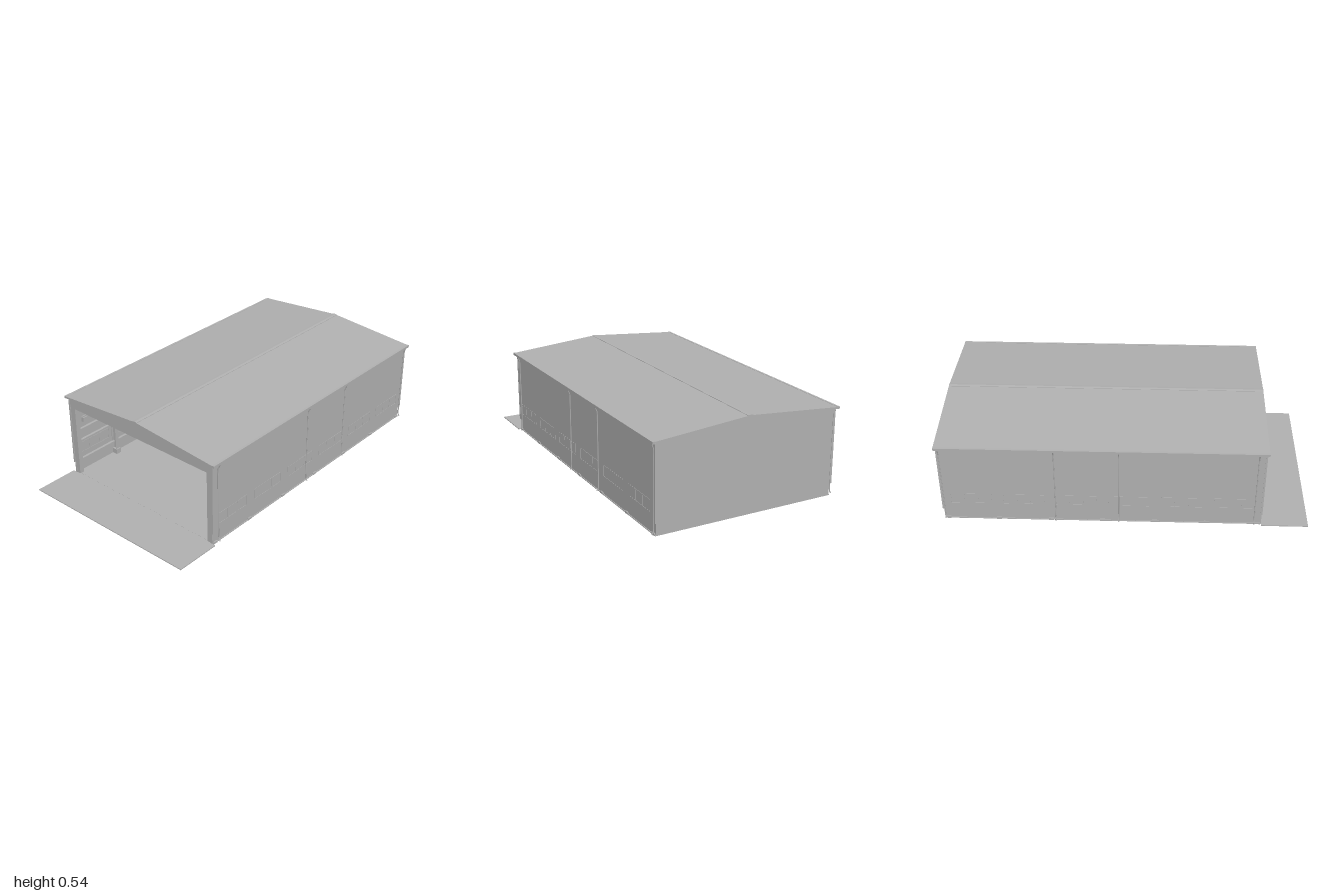
import * as THREE from 'three';

const steel = new THREE.MeshStandardMaterial({ color: 0xb0b0b0 });
steel.name = 'grey steel';

export function createModel() {
  const model = new THREE.Group();
  model.name = 'warehouse';
  let parent = model;

  const add = (name, geometry) => {
    const mesh = new THREE.Mesh(geometry, steel);
    mesh.name = name;
    parent.add(mesh);
    return mesh;
  };
  // Box given by its limits on each axis
  const box = (name, x0, x1, y0, y1, z0, z1) => {
    const m = add(name, new THREE.BoxGeometry(Math.abs(x1 - x0), y1 - y0, z1 - z0));
    m.position.set((x0 + x1) / 2, (y0 + y1) / 2, (z0 + z1) / 2);
    return m;
  };
  // Outline in x and y, extruded from z0 to z1
  const prism = (name, pts, z0, z1) => {
    const shape = new THREE.Shape(pts.map(p => new THREE.Vector2(...p)));
    const g = new THREE.ExtrudeGeometry(shape, { depth: z1 - z0, bevelEnabled: false });
    add(name, g).position.z = z0;
  };
  const section = name => {
    parent = new THREE.Group();
    parent.name = name;
    model.add(parent);
  };

  const FRONT = 0.745, BACK = -0.985;
  const frames = [0.725, 0.45, 0.165, -0.12, -0.4, -0.685, -0.965];

  // Floor and apron
  section('ground');
  box('floor', -0.52, 0.52, 0, 0.005, BACK, FRONT);
  box('apron', -0.535, 0.535, 0, 0.005, FRONT, 1);
  for (let i = 0; i < 24; i++) {
    const x = -0.46 + i * 0.04;
    box('doorTrack', x - 0.01, x + 0.01, 0.005, 0.006, 0.735, 0.738);
  }

  // Roof with ridge cap
  section('roof');
  prism('roofSheet', [[-0.54, 0.478], [0, 0.522], [0.54, 0.478], [0.54, 0.488], [0, 0.532], [-0.54, 0.488]], -1, 0.757);
  prism('ridgeCap', [[-0.015, 0.53], [0.015, 0.53], [0.015, 0.533], [0, 0.535], [-0.015, 0.533]], -1, 0.757);

  // Gables and back wall
  section('endWalls');
  prism('frontGable', [[-0.52, 0.425], [0.52, 0.425], [0.52, 0.48], [0, 0.523], [-0.52, 0.48]], 0.733, FRONT);
  prism('backWall', [[-0.522, 0.068], [0.522, 0.068], [0.522, 0.48], [0, 0.523], [-0.522, 0.48]], BACK - 0.004, BACK + 0.004);
  box('backPlinth', -0.515, 0.515, 0, 0.07, BACK, BACK + 0.012);

  // Sides, mirrored
  for (const s of [-1, 1]) {
    section(s > 0 ? 'leftSide' : 'rightSide');
    box('wall', s * 0.515, s * 0.522, 0.068, 0.48, BACK, FRONT);
    box('plinth', s * 0.506, s * 0.516, 0, 0.07, BACK, FRONT);
    box('gutter', s * 0.53, s * 0.543, 0.477, 0.49, -1, 0.757);
    box('frontPost', s * 0.482, s * 0.515, 0.005, 0.425, 0.715, 0.743);
    box('frontTrim', s * 0.515, s * 0.524, 0.068, 0.475, 0.738, 0.748);
    box('backTrim', s * 0.512, s * 0.525, 0.068, 0.475, BACK - 0.006, BACK + 0.006);
    box('runwayBeam', s * 0.457, s * 0.474, 0.335, 0.362, -0.97, 0.71);
    box('runwayRail', s * 0.462, s * 0.468, 0.362, 0.37, -0.97, 0.71);

    // Drainpipes
    for (const z of [0.705, -0.03, -0.372, -0.978]) {
      const path = new THREE.CatmullRomCurve3(
        [[0.537, 0.48], [0.535, 0.468], [0.526, 0.45], [0.525, 0.4], [0.525, 0.05], [0.526, 0.022], [0.534, 0.008]]
          .map(([x, y]) => new THREE.Vector3(s * x, y, z)), false, 'centripetal');
      add('drainpipe', new THREE.TubeGeometry(path, 28, 0.003, 8));
    }

    // Ribbon windows, framed inside and out
    for (let i = 0; i < 6; i++) {
      const z1 = 0.705 - i * 0.2845, z0 = z1 - 0.222;
      for (const [a, b] of [[0.5215, 0.5235], [0.513, 0.5155]]) {
        box('windowHead', s * a, s * b, 0.172, 0.175, z0, z1);
        box('windowSill', s * a, s * b, 0.11, 0.113, z0, z1);
        for (let k = 0; k < 4; k++) {
          const z = z0 + k * 0.0733;
          box('windowMullion', s * a, s * b, 0.113, 0.172, z, z + 0.002);
        }
      }
    }

    // Inner wall rails
    for (const y of [0.075, 0.195, 0.265, 0.4])
      box('wallRail', s * 0.5, s * 0.516, y - 0.004, y + 0.004, -0.97, 0.72);

    // Columns of I section with brackets and base plates
    for (const z of frames.slice(1)) {
      box('columnInnerFlange', s * 0.482, s * 0.486, 0.005, 0.44, z - 0.012, z + 0.012);
      box('columnOuterFlange', s * 0.51, s * 0.514, 0.005, 0.44, z - 0.012, z + 0.012);
      box('columnWeb', s * 0.485, s * 0.511, 0.005, 0.44, z - 0.002, z + 0.002);
      box('columnFoot', s * 0.474, s * 0.515, 0.005, 0.035, z - 0.016, z + 0.016);
      const pts = [[0.484, 0.335], [0.45, 0.335], [0.45, 0.325], [0.484, 0.27]].map(([x, y]) => [s * x, y]);
      prism('runwayBracket', pts, z - 0.004, z + 0.004);
    }
    for (const z of frames)
      box('basePlate', s * 0.495, s * 0.522, 0, 0.012, z - 0.014, z + 0.014);
  }

  // Rafters and purlins under the roof
  section('roofFrame');
  for (const z of frames.slice(1))
    prism('rafter', [[-0.512, 0.43], [0, 0.487], [0.512, 0.43], [0.512, 0.48], [0, 0.522], [-0.512, 0.48]], z - 0.004, z + 0.004);
  for (const s of [-1, 1])
    for (const x of [0.08, 0.19, 0.3, 0.41]) {
      const y = 0.521 - x * 0.0815;
      box('purlin', s * (x - 0.004), s * (x + 0.004), y - 0.014, y, -0.97, 0.735);
    }

  // Overhead crane
  section('crane');
  const cz = -0.55;
  for (const z of [cz - 0.035, cz + 0.035]) {
    box('craneGirder', -0.45, 0.45, 0.352, 0.39, z - 0.006, z + 0.006);
    box('craneFlange', -0.465, 0.465, 0.388, 0.394, z - 0.01, z + 0.01);
    for (let i = -5; i <= 5; i++)
      box('girderStiffener', i * 0.085 - 0.002, i * 0.085 + 0.002, 0.35, 0.39, z - 0.009, z + 0.009);
  }
  for (const s of [-1, 1]) {
    box('endCarriage', s * 0.445, s * 0.475, 0.368, 0.392, cz - 0.08, cz + 0.08);
    box('railPost', s * 0.428, s * 0.432, 0.39, 0.42, cz + 0.033, cz + 0.037);
  }
  box('craneHandrail', -0.43, 0.43, 0.417, 0.42, cz + 0.034, cz + 0.036);
  box('trolley', -0.165, -0.06, 0.396, 0.412, cz - 0.04, cz + 0.045);
  const drum = add('hoistDrum', new THREE.CylinderGeometry(0.012, 0.012, 0.08, 16));
  drum.rotation.z = Math.PI / 2;
  drum.position.set(-0.11, 0.415, cz);

  // Back wall framing
  section('backFrame');
  const inner = BACK + 0.004;
  for (const s of [-1, 1])
    for (const y of [0.075, 0.155, 0.265])
      box('girt', s * 0.12, s * 0.485, y - 0.004, y + 0.004, inner, inner + 0.014);
  for (const x of [-0.26, -0.124, 0.124, 0.258])
    box('windPost', x - 0.004, x + 0.004, 0.005, Math.abs(x) < 0.2 && x > 0 ? 0.25 : 0.46, inner, inner + 0.018);
  box('tieBeam', -0.485, 0.485, 0.34, 0.347, inner, inner + 0.012);

  // Roller door
  section('rollerDoor');
  box('curtain', -0.112, 0.112, 0.005, 0.25, inner, inner + 0.014);
  for (const s of [-1, 1]) box('guide', s * 0.108, s * 0.118, 0.005, 0.25, inner, inner + 0.022);
  const roll = add('roll', new THREE.CylinderGeometry(0.016, 0.016, 0.235, 20));
  roll.rotation.z = Math.PI / 2;
  roll.position.set(0, 0.257, inner + 0.018);

  // Ladder
  section('ladder');
  const lz = -0.94;
  for (const x of [-0.427, -0.404]) box('ladderRail', x - 0.002, x + 0.002, 0.005, 0.34, lz, lz + 0.005);
  for (let y = 0.025; y < 0.335; y += 0.02) box('rung', -0.427, -0.404, y, y + 0.003, lz + 0.001, lz + 0.004);

  // Fittings along the back wall
  section('fittings');
  box('crate', -0.25, -0.15, 0.005, 0.092, -0.96, -0.9);
  box('pole', -0.235, -0.231, 0.09, 0.225, -0.95, -0.946);
  box('cabinet', 0.299, 0.346, 0.005, 0.098, -0.965, -0.92);
  box('cabinetLid', 0.296, 0.349, 0.098, 0.102, -0.967, -0.917);
  box('cabinetPanel', 0.304, 0.341, 0.045, 0.09, -0.92, -0.917);
  box('warningLamp', 0.317, 0.329, 0.102, 0.112, -0.945, -0.935);
  box('doorControl', 0.118, 0.134, 0.055, 0.075, inner, inner + 0.03);
  for (const x of [-0.127, -0.103]) {
    const disc = add('signDisc', new THREE.CylinderGeometry(0.013, 0.013, 0.006, 20));
    disc.rotation.x = Math.PI / 2;
    disc.position.set(x, 0.155, inner + 0.028);
  }
  box('signBar', -0.13, -0.1, 0.153, 0.157, inner + 0.03, inner + 0.034);

  return model;
}
